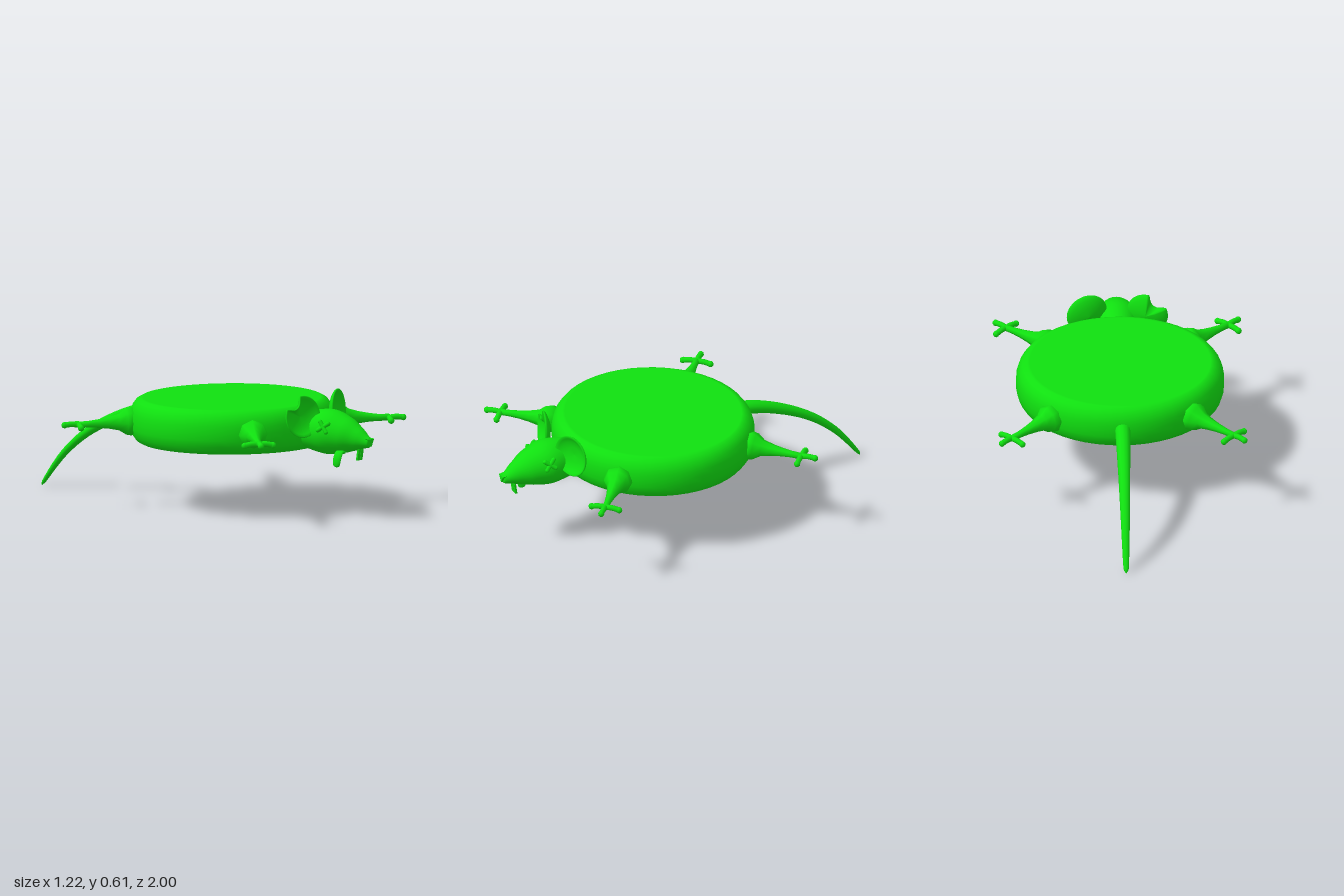
import * as THREE from 'three';

const green = new THREE.MeshStandardMaterial({ color: 0x10e010, side: THREE.DoubleSide });
const facetedGreen = new THREE.MeshStandardMaterial({ color: 0x10e010, flatShading: true });
const V = (x, y, z) => new THREE.Vector3(x, y, z);

function part(name, geometry, parent, material = green) {
  const mesh = new THREE.Mesh(geometry, material);
  mesh.name = name;
  parent.add(mesh);
  return mesh;
}

const lathe = (points, sides) =>
  new THREE.LatheGeometry(points.map(([r, y]) => new THREE.Vector2(r, y)), sides);

// Smooth elliptical loft through stations [x, y, z, radius along side, other radius]
function loft(stations, side, steps = 30, sides = 20) {
  const path = new THREE.CatmullRomCurve3(stations.map(s => V(s[0], s[1], s[2])));
  const radii = new THREE.CatmullRomCurve3(stations.map(s => V(s[3], s[4], 0)), false, 'catmullrom', 0.4);
  const pos = [], index = [];
  for (let i = 0; i <= steps; i++) {
    const p = path.getPoint(i / steps), r = radii.getPoint(i / steps);
    const n = path.getTangent(i / steps).cross(side).normalize();
    for (let j = 0; j < sides; j++) {
      const a = j / sides * Math.PI * 2;
      const q = p.clone().addScaledVector(side, Math.cos(a) * r.x).addScaledVector(n, Math.sin(a) * r.y);
      pos.push(q.x, q.y, q.z);
      if (i < steps) {
        const k = (j + 1) % sides, A = i * sides + j, B = i * sides + k;
        index.push(A, B, A + sides, B, B + sides, A + sides);
      }
    }
  }
  const g = new THREE.BufferGeometry();
  g.setAttribute('position', new THREE.Float32BufferAttribute(pos, 3));
  g.setIndex(index);
  g.computeVertexNormals();
  return g;
}

// Cupped round ear; an optional bite pulls the rim in along a circle
function earGeometry(bite) {
  const R = 0.104;
  const g = lathe([[0, -0.018], [0.05, -0.013], [0.085, 0.002], [0.1, 0.013], [R, 0.021],
    [0.099, 0.025], [0.088, 0.017], [0.07, 0.006], [0.04, -0.003], [0, -0.006]], 72);
  g.rotateX(Math.PI / 2);
  if (bite) {
    const p = g.attributes.position;
    for (let i = 0; i < p.count; i++) {
      const x = p.getX(i), y = p.getY(i), d = Math.hypot(x, y) || 1;
      const b = (x * bite.x + y * bite.y) / d;
      const disc = b * b - bite.x ** 2 - bite.y ** 2 + bite.r ** 2;
      if (b <= 0 || disc <= 0) continue;
      const f = Math.min(1, (b - Math.sqrt(disc)) / R);
      p.setXY(i, x * f, y * f);
    }
    g.computeVertexNormals();
  }
  return g;
}

// Leg with a wide faceted hip, a thin ankle and three toes
function addLeg(parent, sx, sz) {
  const leg = new THREE.Group();
  leg.name = (sz > 0 ? 'front' : 'rear') + (sx > 0 ? 'LeftLeg' : 'RightLeg');
  const hip = V(sx * 0.35, 0.43, 0.165 + sz * 0.37);
  const foot = V(sx * 0.545, 0.42, 0.165 + sz * 0.545);
  const dir = foot.clone().sub(hip), len = dir.length();
  dir.normalize();
  const limb = part('limb', lathe([[0, -0.06], [0.05, -0.06], [0.072, 0], [0.066, 0.025], [0.042, 0.06],
    [0.03, 0.11], [0.022, 0.16], [0.017, 0.21], [0.016, len], [0, len + 0.01]], 8), leg);
  limb.position.copy(hip);
  limb.quaternion.setFromUnitVectors(V(0, 1, 0), dir);
  for (const [tx, tz] of [[1, 1], [1, -1], [-1, 1]]) {
    const tip = foot.clone().add(V(sx * tx * 0.05, tx * tz > 0 ? 0 : -0.006, sz * tz * 0.05));
    const knuckle = foot.clone().lerp(tip, 0.5).add(V(0, 0.004, 0));
    part('toe', new THREE.TubeGeometry(new THREE.CatmullRomCurve3([foot, knuckle, tip]), 6, 0.014, 8), leg);
    part('toeTip', new THREE.SphereGeometry(0.016, 8, 6), leg).position.copy(tip);
  }
  parent.add(leg);
}

export function createModel() {
  const root = new THREE.Group();
  root.name = 'flattenedRat';

  // Flattened disc body with a rounded rim
  const body = part('body', lathe([[0, 0.32], [0.445, 0.32], [0.457, 0.321], [0.48, 0.333], [0.5, 0.36],
    [0.51, 0.395], [0.511, 0.43], [0.51, 0.465], [0.5, 0.5], [0.48, 0.527], [0.457, 0.539],
    [0.445, 0.54], [0, 0.54]], 48), root);
  body.scale.z = 0.97;
  body.position.z = 0.153;

  // Head tapering to the snout
  const head = new THREE.Group();
  head.name = 'head';
  root.add(head);
  part('skull', loft([
    [0, 0.42, 0.56, 0.002, 0.002], [0, 0.42, 0.6, 0.08, 0.08], [0, 0.421, 0.68, 0.105, 0.104],
    [0, 0.42, 0.76, 0.115, 0.111], [0, 0.41, 0.85, 0.09, 0.089], [0, 0.397, 0.92, 0.056, 0.058],
    [0, 0.387, 0.97, 0.031, 0.031], [0, 0.385, 0.989, 0.021, 0.022], [0, 0.385, 0.992, 0.001, 0.001],
  ], V(1, 0, 0), 36, 28), head);

  const nose = new THREE.CylinderGeometry(0.024, 0.028, 0.026, 3);
  nose.rotateX(Math.PI / 2);
  part('nose', nose, head, facetedGreen).position.set(0, 0.393, 0.987);

  // Ears and crossed-out eyes
  for (const s of [1, -1]) {
    const bite = s < 0 ? { x: -0.055, y: 0.08, r: 0.042 } : null;
    const ear = part(s > 0 ? 'leftEar' : 'rightBittenEar', earGeometry(bite), head);
    ear.position.set(s * 0.143, 0.505, 0.672);
    ear.rotation.set(-0.08, s * 0.31, 0);

    const eye = new THREE.Group();
    eye.name = s > 0 ? 'leftEye' : 'rightEye';
    for (const t of [1, -1]) {
      part('eyeBar', new THREE.CapsuleGeometry(0.011, 0.062, 4, 8), eye).rotation.z = t * Math.PI / 4 + 0.2 * s;
    }
    eye.position.set(s * 0.104, 0.458, 0.78);
    eye.lookAt(eye.position.clone().add(V(s, 0.25, 0.3)));
    head.add(eye);
  }

  // Two front teeth and a tongue hanging out on the right
  for (const s of [1, -1]) {
    const tooth = part('tooth', new THREE.BoxGeometry(0.02, 0.055, 0.009), head, facetedGreen);
    tooth.position.set(s * 0.011, 0.322, 0.928);
    tooth.rotation.x = 0.15;
  }
  part('tongue', loft([
    [-0.03, 0.33, 0.845, 0.02, 0.009], [-0.055, 0.333, 0.845, 0.023, 0.01], [-0.071, 0.312, 0.845, 0.024, 0.01],
    [-0.077, 0.285, 0.843, 0.023, 0.009], [-0.076, 0.266, 0.842, 0.017, 0.008], [-0.076, 0.26, 0.842, 0.002, 0.002],
  ], V(0, 0, 1), 18, 12), head);

  // Drooping tail
  part('tail', loft([
    [0, 0.435, -0.28, 0.038, 0.036], [0, 0.432, -0.36, 0.037, 0.034], [0, 0.396, -0.5, 0.033, 0.029],
    [0, 0.302, -0.7, 0.027, 0.023], [0, 0.175, -0.86, 0.021, 0.017], [0, 0.02, -0.985, 0.013, 0.009],
    [0, 0.002, -0.997, 0.002, 0.002],
  ], V(1, 0, 0), 30, 12), root);

  for (const sx of [1, -1]) for (const sz of [1, -1]) addLeg(root, sx, sz);
  return root;
}
